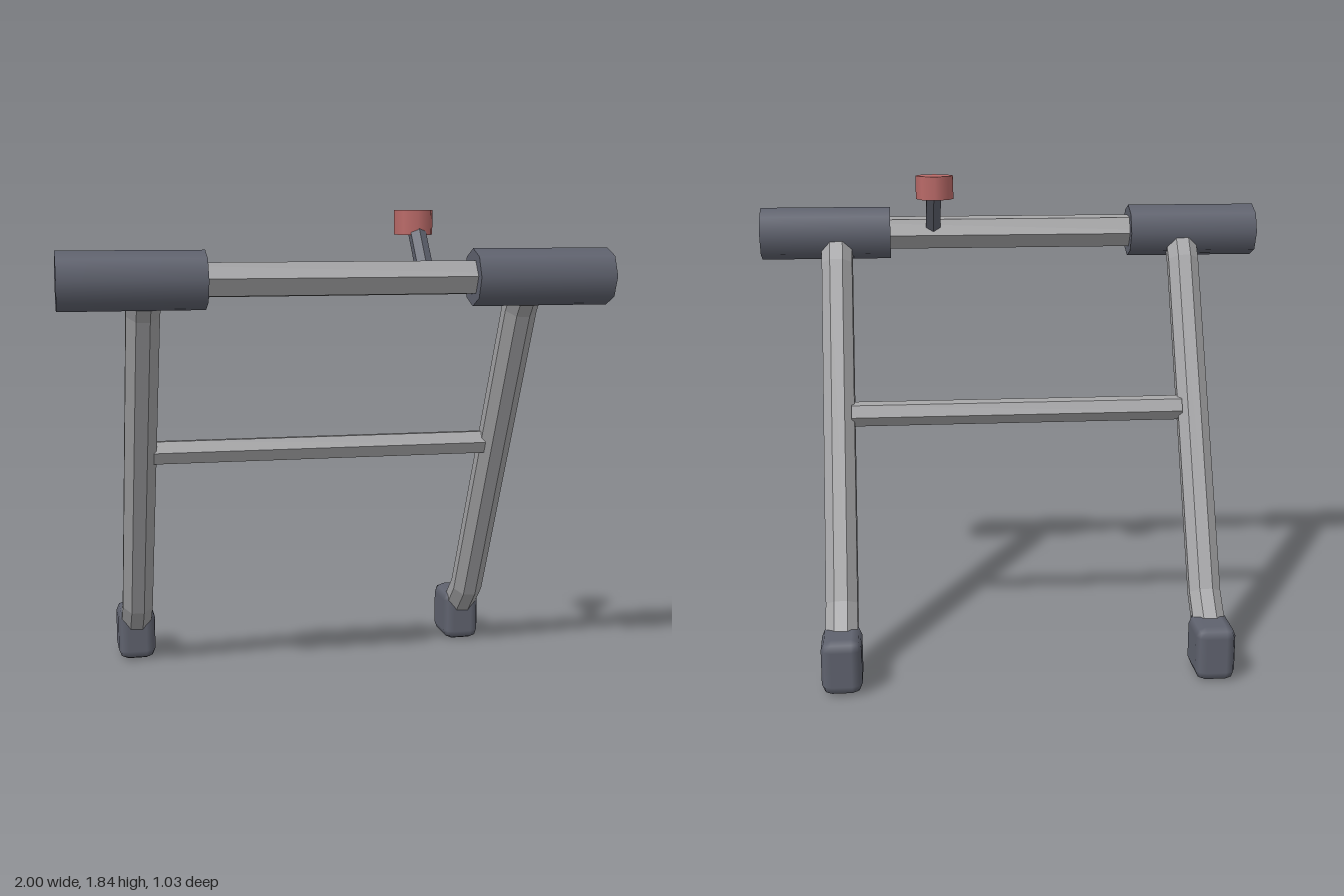
import * as THREE from 'three';
import { RoundedBoxGeometry } from 'three/addons/geometries/RoundedBoxGeometry.js';

function material(name, color) {
  const m = new THREE.MeshStandardMaterial({ color });
  m.name = name;
  return m;
}

// give every face its own normal
function faceted(geometry) {
  const g = geometry.index ? geometry.toNonIndexed() : geometry;
  g.computeVertexNormals();
  return g;
}

// prism lying along x
function barX(radius, length, sides, turn) {
  return new THREE.CylinderGeometry(radius, radius, length, sides, 1, false, turn).rotateZ(Math.PI / 2);
}

// tube swept along [y, z] points with mitred bends
function bentTube(path, radius, sides, turn) {
  const pts = path.map(([y, z]) => new THREE.Vector2(y, z));
  const pos = [], index = [];
  pts.forEach((p, i) => {
    const a = p.clone().sub(pts[Math.max(i - 1, 0)]).normalize();
    const b = pts[Math.min(i + 1, pts.length - 1)].clone().sub(p).normalize();
    const d = a.clone().add(b).normalize();
    const stretch = 1 / Math.max(d.dot(a), d.dot(b));
    for (let j = 0; j < sides; j++) {
      const t = turn + (j / sides) * Math.PI * 2;
      const n = Math.sin(t) * radius * stretch;
      pos.push(Math.cos(t) * radius, p.x + d.y * n, p.y - d.x * n);
      if (i < pts.length - 1) {
        const k = (j + 1) % sides, r = i * sides, s = r + sides;
        index.push(r + j, r + k, s + j, r + k, s + k, s + j);
      }
    }
  });
  const g = new THREE.BufferGeometry();
  g.setAttribute('position', new THREE.Float32BufferAttribute(pos, 3));
  g.setIndex(index);
  return faceted(g);
}

export function createModel() {
  const model = new THREE.Group();
  const metal = material('grey metal', 0xa5a5a7);
  const rubber = material('dark rubber', 0x5f626e);
  const red = material('red button', 0xba6a68);

  const add = (name, geometry, mat, x, y, z) => {
    const mesh = new THREE.Mesh(geometry, mat);
    mesh.name = name;
    mesh.position.set(x, y, z);
    model.add(mesh);
    return mesh;
  };

  // horizontal bars
  add('handleBar', faceted(barX(0.068, 1.9, 6, 0.09)), metal, 0, 1.595, 0.41);
  add('crossBar', faceted(barX(0.049, 1.3, 6, 0.09)), metal, 0, 0.93, 0.053);

  // legs, grips and feet on both sides
  const legPath = [[1.595, 0.41], [1.478, 0.317], [0.262, -0.26], [0.12, -0.4]];
  const legGeometry = bentTube(legPath, 0.065, 8, Math.PI / 8 + 0.05);
  for (const [side, s] of [['left', 1], ['right', -1]]) {
    add(side + 'Leg', legGeometry, metal, s * 0.698, 0, 0);
    add(side + 'Grip', barX(0.104, 0.515, 8, 0.03), rubber, s * 0.7425, 1.595, 0.41);
    add(side + 'Foot', new RoundedBoxGeometry(0.15, 0.21, 0.21, 1, 0.038), rubber, s * 0.698, 0.105, -0.408);
  }

  // button on its slanted stem
  const stem = new THREE.CylinderGeometry(0.033, 0.033, 0.24, 6);
  add('buttonStem', faceted(stem), rubber, 0.313, 1.685, 0.325).rotation.x = -0.68;
  add('button', new THREE.CylinderGeometry(0.073, 0.073, 0.09, 8), red, 0.31, 1.79, 0.228);

  return model;
}
